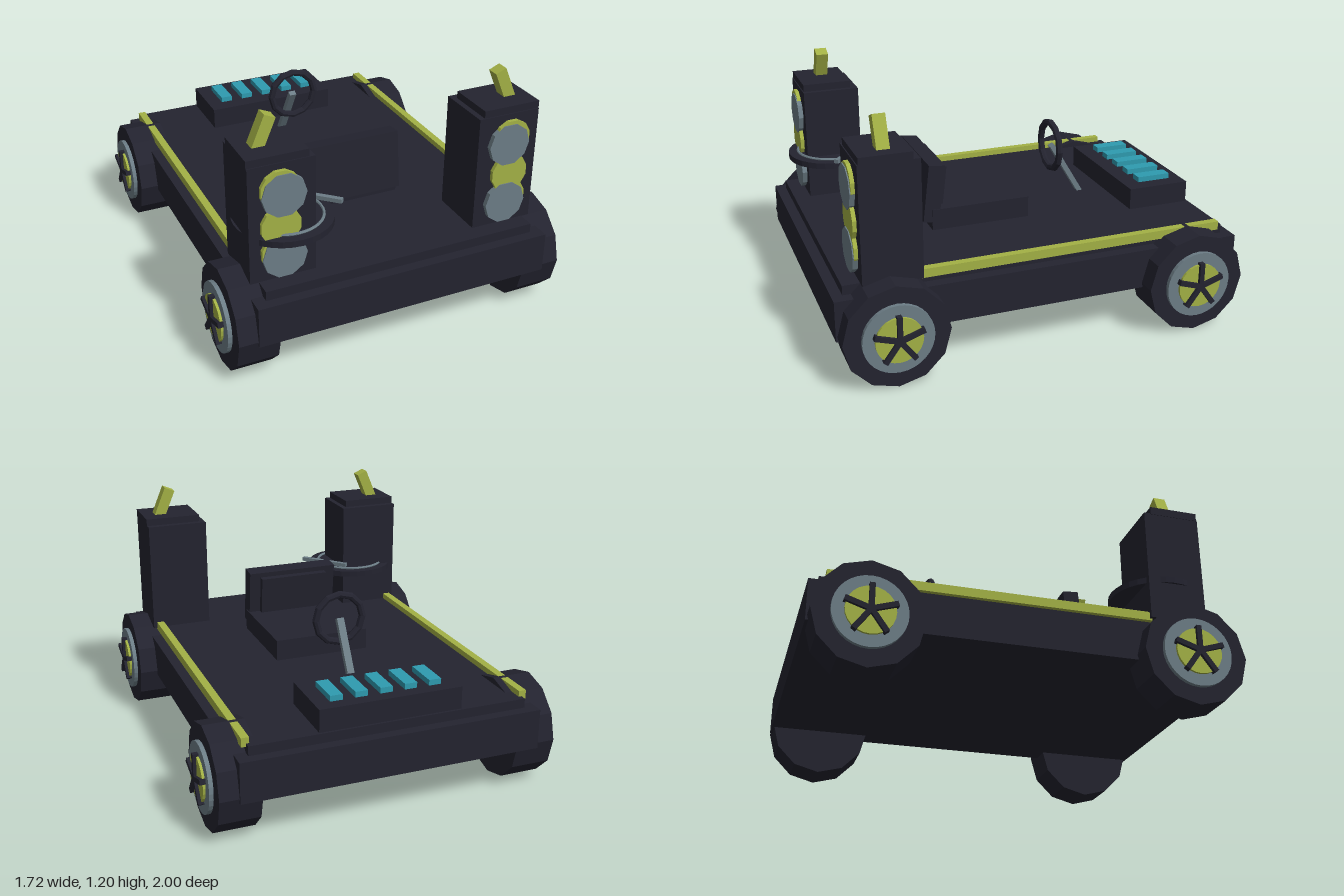
import * as THREE from 'three';

const mat = (name, color) => {
  const m = new THREE.MeshStandardMaterial({ color, flatShading: true });
  m.name = name;
  return m;
};

export function createModel() {
  const dark = mat('darkBody', 0x23232f);
  const lime = mat('lime', 0xa3b145);
  const grey = mat('steelGrey', 0x6c7d86);
  const teal = mat('teal', 0x2e9bb0);
  const root = new THREE.Group();
  root.name = 'cart';

  const add = (name, geo, material, x, y, z, parent = root) => {
    const mesh = new THREE.Mesh(geo, material);
    mesh.name = name;
    mesh.position.set(x, y, z);
    parent.add(mesh);
    return mesh;
  };
  // Box given by its limits on each axis
  const block = (name, m, x0, x1, y0, y1, z0, z1, parent = root) =>
    add(name, new THREE.BoxGeometry(x1 - x0, y1 - y0, z1 - z0), m,
      (x0 + x1) / 2, (y0 + y1) / 2, (z0 + z1) / 2, parent);
  // Straight bar between two points
  const bar = (name, m, a, b, w, h) => {
    const p = new THREE.Vector3(...a), q = new THREE.Vector3(...b);
    const mesh = add(name, new THREE.BoxGeometry(w, h, p.distanceTo(q)), m, 0, 0, 0);
    mesh.position.copy(p).add(q).multiplyScalar(0.5);
    mesh.lookAt(q);
    return mesh;
  };

  // Chassis and deck
  block('chassis', dark, -0.725, 0.725, 0.225, 0.42, -1, 1);
  block('deck', dark, -0.67, 0.67, 0.42, 0.465, -0.95, 0.95);

  // Wheels: tyre, rim, hub and five spokes along the x axis
  const disc = (r, w, n) => new THREE.CylinderGeometry(r, r, w, n).rotateZ(Math.PI / 2);
  for (const s of [-1, 1]) {
    for (const z of [-0.745, 0.745]) {
      const wheel = new THREE.Group();
      wheel.name = 'wheel';
      wheel.position.set(0, 0.248, z);
      root.add(wheel);
      add('tyre', disc(0.248, 0.195, 12), dark, s * 0.7175, 0, 0, wheel);
      add('rim', disc(0.165, 0.1, 32), grey, s * 0.785, 0, 0, wheel);
      add('hub', disc(0.11, 0.1, 24), lime, s * 0.797, 0, 0, wheel);
      for (let i = 0; i < 5; i++) {
        const geo = new THREE.BoxGeometry(0.06, 0.12, 0.024);
        geo.translate(0, 0.06, 0).rotateX(i * Math.PI * 2 / 5);
        add('spoke', geo, dark, s * 0.832, 0, 0, wheel);
      }
    }
  }

  // Side rails, lamp towers and marker sticks
  for (const s of [-1, 1]) {
    const span = (a, b) => (s > 0 ? [a, b] : [-b, -a]);
    block('sideRail', lime, ...span(0.655, 0.692), 0.45, 0.493, -0.92, 0.6);
    block('tower', dark, ...span(0.4, 0.71), 0.46, 1.025, 0.588, 0.868);
    block('towerCap', dark, ...span(0.427, 0.712), 1.02, 1.06, 0.622, 0.863);
    const stick = add('markerStick', new THREE.BoxGeometry(0.056, 0.2, 0.06), lime, s * 0.6, 1.1, 0.735);
    stick.rotation.z = s * 0.4;

    const lamp = (r, n, turn) => new THREE.CylinderGeometry(r, r, 0.04, n).rotateY(turn).rotateX(Math.PI / 2);
    for (const y of [0.6, 0.73, 0.905])
      add('limeLamp', lamp(0.094, 12, Math.PI / 12), lime, s * 0.567, y, 0.867);
    for (const y of [0.58, 0.88])
      add('greyLamp', lamp(0.104, 10, Math.PI / 10), grey, s * 0.553, y, 0.872);
  }

  // Platter around one tower, with its ring and arm
  add('platter', new THREE.CylinderGeometry(0.23, 0.23, 0.03, 32), dark, -0.492, 0.665, 0.717);
  const ring = new THREE.TorusGeometry(0.182, 0.007, 6, 40).rotateX(Math.PI / 2);
  add('platterRing', ring, grey, -0.492, 0.685, 0.717);
  bar('platterArm', grey, [-0.41, 0.7, 0.57], [-0.222, 0.706, 0.76], 0.024, 0.02);

  // Seat
  block('seatCushion', dark, -0.243, 0.243, 0.46, 0.57, -0.1, 0.4);
  const back = new THREE.Group();
  back.name = 'seatBack';
  back.position.set(0, 0.65, 0.388);
  back.rotation.x = -0.115;
  root.add(back);
  block('backrest', dark, -0.238, 0.238, -0.145, 0.145, -0.04, 0.04, back);
  block('backPad', dark, -0.18, 0.18, -0.1, 0.12, -0.07, -0.035, back);

  // Steering wheel and column
  add('steeringWheel', new THREE.TorusGeometry(0.121, 0.018, 8, 12), dark, 0, 0.735, -0.32);
  bar('steeringColumn', grey, [0, 0.735, -0.325], [0, 0.46, -0.49], 0.036, 0.026);

  // Control panel with a row of keys
  block('controlPanel', dark, -0.345, 0.345, 0.46, 0.573, -0.938, -0.618);
  for (let i = -2; i <= 2; i++)
    block('key', teal, i * 0.12 - 0.03, i * 0.12 + 0.03, 0.565, 0.6, -0.875, -0.7);

  return root;
}
